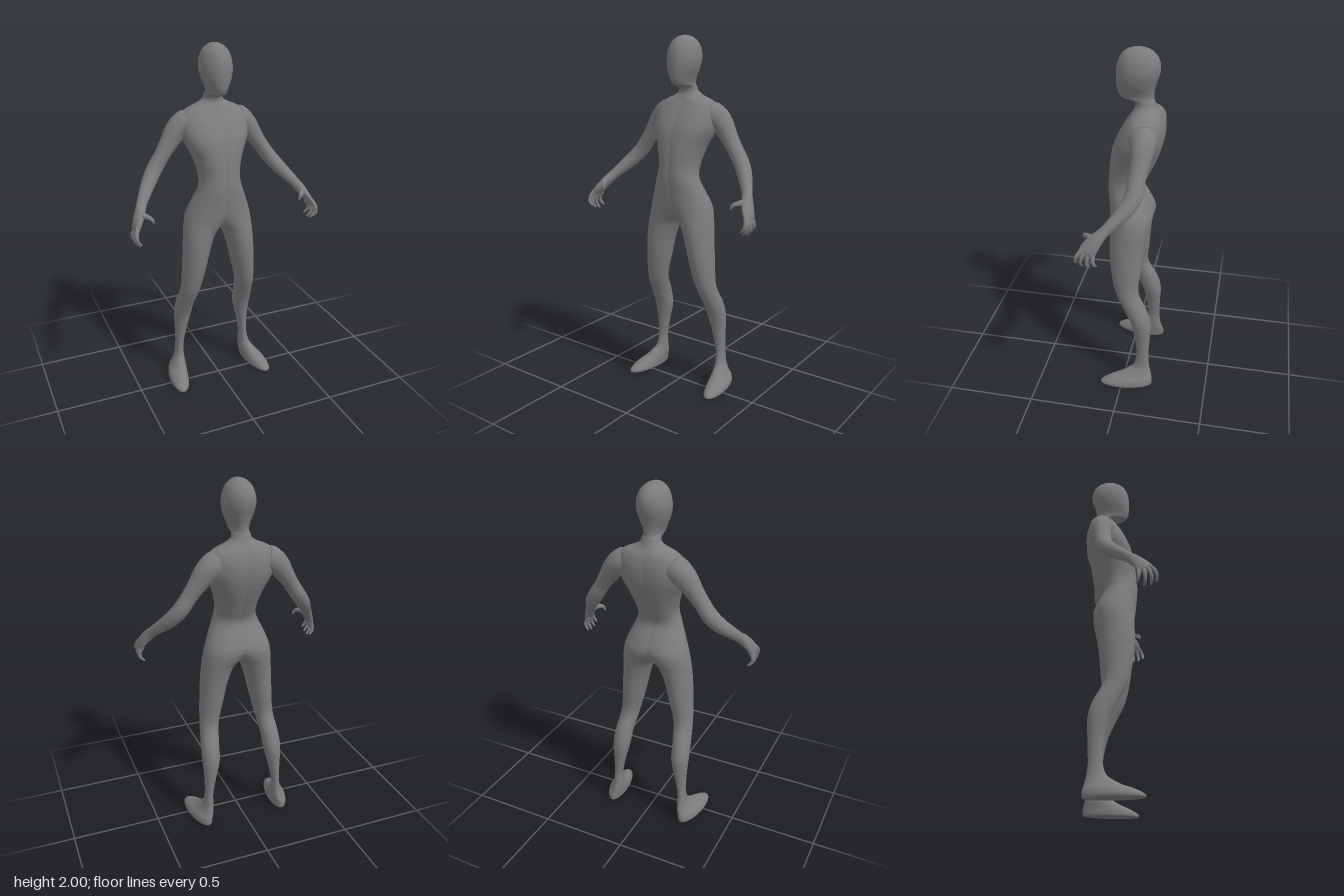
import * as THREE from 'three';

const Z = new THREE.Vector3(0, 0, 1);
const SIDES = 48, STEPS = 5;
const material = new THREE.MeshStandardMaterial({ color: 0x7c7c7c });
const { lerp, clamp } = THREE.MathUtils;

// Smooth interpolation through a list of equal-length rows
function refine(rows) {
  const at = k => rows[Math.max(0, Math.min(rows.length - 1, k))];
  const out = [];
  for (let i = 0; i < rows.length - 1; i++) for (let s = 0; s < STEPS; s++) {
    const [a, b, c, d] = [at(i - 1), at(i), at(i + 1), at(i + 2)];
    const t = s / STEPS, t2 = t * t, t3 = t2 * t;
    out.push(b.map((_, k) => (2 * t3 - 3 * t2 + 1) * b[k] + (t3 - 2 * t2 + t) * (c[k] - a[k]) / 2
      + (3 * t2 - 2 * t3) * c[k] + (t3 - t2) * (d[k] - b[k]) / 2));
  }
  out.push(at(rows.length));
  return out;
}

// Head, chin and neck: [y, halfWidth, zBack, zFront]
const HEAD = [
  [2, 0.004, -0.05, -0.04], [1.996, 0.022, -0.08, -0.01], [1.985, 0.042, -0.108, 0.018],
  [1.96, 0.066, -0.136, 0.045], [1.92, 0.082, -0.154, 0.064], [1.87, 0.087, -0.153, 0.071],
  [1.82, 0.077, -0.137, 0.071], [1.78, 0.06, -0.127, 0.067], [1.755, 0.051, -0.125, 0.058],
  [1.739, 0.049, -0.126, 0.042], [1.725, 0.049, -0.13, -0.016], [1.7, 0.058, -0.138, -0.029],
  [1.678, 0.092, -0.15, -0.022],
];
// Shoulders, chest and waist: [y, halfWidth, zBack, zFront]
const TORSO = [
  [1.656, 0.143, -0.164, -0.01], [1.63, 0.176, -0.175, 0.006], [1.58, 0.192, -0.185, 0.038],
  [1.5, 0.184, -0.179, 0.077], [1.4, 0.138, -0.147, 0.1], [1.3, 0.115, -0.102, 0.11], [1.23, 0.126, -0.077, 0.114],
];
// Hip, thigh and shank: [y, xInner, xOuter, zBack, zFront]
const LEG = [
  [1.15, -0.12, 0.16, -0.113, 0.108], [1.08, -0.1, 0.186, -0.137, 0.1], [1.02, -0.035, 0.198, -0.127, 0.092],
  [0.97, 0.018, 0.203, -0.113, 0.09], [0.88, 0.054, 0.21, -0.1, 0.09], [0.76, 0.082, 0.217, -0.09, 0.08],
  [0.62, 0.115, 0.225, -0.082, 0.05], [0.5, 0.135, 0.239, -0.138, -0.008], [0.41, 0.142, 0.243, -0.16, -0.048],
  [0.3, 0.168, 0.237, -0.156, -0.072], [0.2, 0.188, 0.236, -0.152, -0.08],
];
// Ankle to sole: [y, xInner, xOuter, zBack, zFront]
const FOOT = [
  [0.13, 0.19, 0.244, -0.158, -0.066], [0.1, 0.19, 0.256, -0.164, -0.035], [0.07, 0.191, 0.276, -0.171, 0.015],
  [0.045, 0.195, 0.3, -0.178, 0.078], [0.02, 0.198, 0.311, -0.18, 0.122], [0.004, 0.202, 0.308, -0.176, 0.123],
  [0, 0.215, 0.295, -0.155, 0.095],
];

// One half of the body, crown to sole, as level sections
// [y, xInner, xMiddle, xOuter, zBack, zFront]; the inner side is cut at x = 0.
const BODY = refine([
  ...HEAD.map(([y, w, z0, z1]) => [y, -w, 0, w, z0, z1]),
  ...TORSO.map(([y, w, z0, z1]) => [y, -w, 0.2 * w, w, z0, z1]),
  ...[...LEG, ...FOOT].map(([y, x0, x1, z0, z1]) => [y, x0, (x0 + x1) / 2, x1, z0, z1]),
]);

function bodyRing([y, xIn, xMid, xOut, z0, z1]) {
  const splay = 0.12 * clamp((0.16 - y) / 0.08, 0, 1); // toes point a little outwards
  return Array.from({ length: SIDES }, (_, j) => {
    const a = j / SIDES * Math.PI * 2, c = Math.cos(a), dz = Math.sin(a) * (z1 - z0) / 2;
    const x = xMid + c * (c > 0 ? xOut - xMid : xMid - xIn) + splay * dz;
    return new THREE.Vector3(Math.max(0, x), y, (z0 + z1) / 2 + dz);
  });
}

// Below 0 inside the torso, above 0 outside
function torsoField(x, y, z) {
  const i = Math.max(1, BODY.findIndex(r => r[0] <= y));
  const t = (BODY[i - 1][0] - y) / (BODY[i - 1][0] - BODY[i][0]);
  const [, , xMid, xOut, z0, z1] = BODY[i].map((v, k) => lerp(BODY[i - 1][k], v, t));
  return Math.hypot((x - xMid) / (xOut - xMid), (2 * z - z0 - z1) / (z1 - z0)) - 1;
}

// Lays the root of a limb softly onto the torso, so that it grows out of it
function fillet(p) {
  const k = 0.04, e = 0.004, n = new THREE.Vector3();
  const distance = () => {
    const { x, y, z } = p;
    n.set(torsoField(x + e, y, z) - torsoField(x - e, y, z), torsoField(x, y + e, z) - torsoField(x, y - e, z),
      torsoField(x, y, z + e) - torsoField(x, y, z - e)).divideScalar(2 * e);
    const steepness = n.length();
    n.normalize();
    return torsoField(x, y, z) / steepness;
  };
  const d = distance();
  if (d >= k) return;
  const target = Math.max(d + k, 0) ** 2 / (4 * k) - 0.003 * Math.min(1, (k - d) / (2 * k));
  for (let i = 0; i < 4; i++) p.addScaledVector(n, target - distance());
}

// Rings square to a path, from rows [x, y, z, radius, radius across]
function limbRings(rows) {
  const fine = refine(rows), centres = fine.map(r => new THREE.Vector3(r[0], r[1], r[2]));
  return fine.map((r, i) => {
    const dir = centres[Math.min(fine.length - 1, i + 1)].clone().sub(centres[Math.max(0, i - 1)]).normalize();
    const u = dir.clone().cross(Z).normalize(), v = dir.clone().cross(u);
    return Array.from({ length: SIDES }, (_, j) => {
      const a = j / SIDES * Math.PI * 2;
      return centres[i].clone().addScaledVector(u, r[3] * Math.cos(a)).addScaledVector(v, r[4] * Math.sin(a));
    });
  });
}

// Closed smooth skin over rings of points, mirrored for side -1
function skin(name, rings, side) {
  const pos = [], idx = [], last = rings.length - 1, n = rings.length * SIDES;
  const put = p => pos.push(p.x * side, p.y, p.z);
  const tri = (a, b, c) => side > 0 ? idx.push(a, b, c) : idx.push(a, c, b);
  rings.flat().forEach(put);
  for (const ring of [rings[0], rings[last]])
    put(ring.reduce((sum, p) => sum.add(p), new THREE.Vector3()).divideScalar(SIDES));
  for (let j = 0; j < SIDES; j++) {
    const k = (j + 1) % SIDES;
    for (let i = 0; i < last; i++) {
      const a = i * SIDES + j, b = i * SIDES + k;
      tri(a, b, a + SIDES);
      tri(b, b + SIDES, a + SIDES);
    }
    tri(n, k, j);
    tri(n + 1, last * SIDES + j, last * SIDES + k);
  }
  const geometry = new THREE.BufferGeometry();
  geometry.setAttribute('position', new THREE.Float32BufferAttribute(pos, 3));
  geometry.setIndex(idx);
  geometry.computeVertexNormals();
  // Smooth shading across the middle of the body
  const normals = geometry.attributes.normal;
  for (let i = 0; i < normals.count; i++) if (Math.abs(pos[i * 3]) < 1e-5) normals.setX(i, 0);
  geometry.normalizeNormals();
  const mesh = new THREE.Mesh(geometry, material);
  mesh.name = name;
  return mesh;
}

const ARM = [
  [0.13, 1.592, -0.095, 0.05, 0.055], [0.17, 1.573, -0.101, 0.064, 0.066], [0.212, 1.53, -0.1, 0.061, 0.06],
  [0.244, 1.487, -0.097, 0.051, 0.052], [0.29, 1.42, -0.09, 0.042, 0.046], [0.338, 1.35, -0.083, 0.042, 0.047],
  [0.382, 1.293, -0.052, 0.04, 0.042], [0.422, 1.245, -0.006, 0.034, 0.034], [0.457, 1.202, 0.04, 0.028, 0.028],
  [0.481, 1.165, 0.077, 0.027, 0.036], [0.504, 1.127, 0.107, 0.021, 0.044], [0.517, 1.1, 0.121, 0.014, 0.043],
  [0.522, 1.088, 0.125, 0.004, 0.03],
];
// Joints from the knuckle to the tip
const THUMB = [[0.48, 1.168, 0.092], [0.457, 1.166, 0.13], [0.438, 1.157, 0.15], [0.428, 1.135, 0.155]];
const FOREFINGER = [[0.51, 1.12, 0.14], [0.527, 1.088, 0.168], [0.525, 1.055, 0.18], [0.505, 1.033, 0.178]];
const LITTLE_FINGER = [[0.512, 1.1, 0.09], [0.528, 1.065, 0.088], [0.524, 1.038, 0.084], [0.505, 1.02, 0.077]];

// The two middle fingers lie between the outer ones and reach further down
const fingerJoints = t => FOREFINGER.map((p, k) => {
  const [x, y, z] = p.map((v, c) => lerp(v, LITTLE_FINGER[k][c], t));
  return [x, y - 0.006 * k * Math.sin(t * Math.PI), z];
});
const digit = (joints, radii) => limbRings(joints.map((p, k) => [...p, radii[k], radii[k]]));

export function createModel() {
  const model = new THREE.Group();
  model.name = 'figure';
  const bodyRings = BODY.map(bodyRing);
  const armRings = limbRings(ARM);
  armRings.flat().forEach(fillet);
  const thumb = digit(THUMB, [0.022, 0.014, 0.01, 0.005]);
  const fingers = [0, 0.28, 0.62, 1].map(t => digit(fingerJoints(t), [0.014, 0.0105, 0.0085, 0.005]));

  for (const side of [1, -1]) {
    const label = side > 0 ? 'left' : 'right';
    model.add(skin(label + 'BodyHalf', bodyRings, side));
    // Arm with palm, thumb and fingers
    const arm = new THREE.Group();
    arm.name = label + 'Arm';
    arm.add(skin('armAndPalm', armRings, side), skin('thumb', thumb, side));
    fingers.forEach((rings, i) => arm.add(skin('finger' + (i + 1), rings, side)));
    model.add(arm);
  }
  return model;
}
